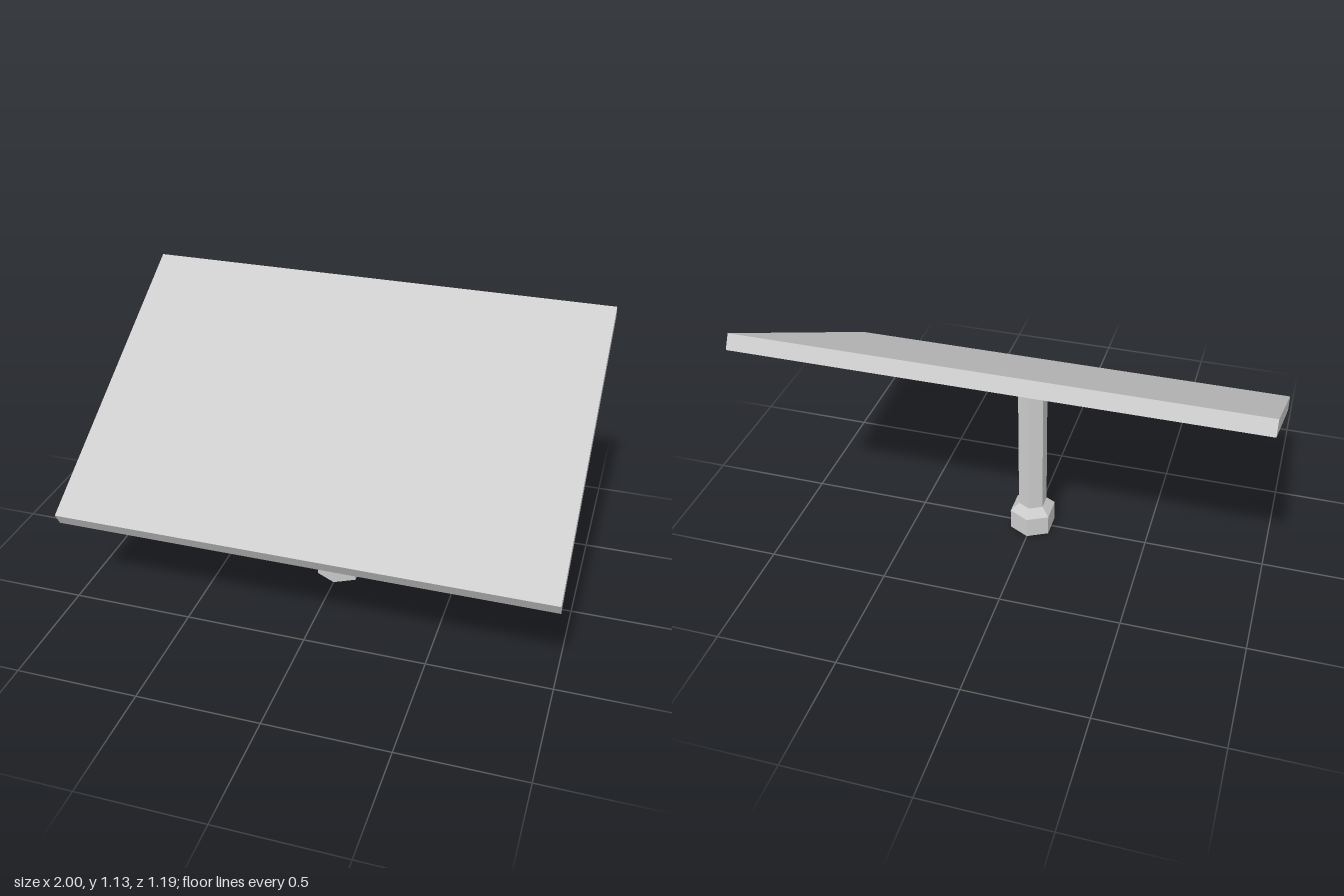
import * as THREE from 'three';

const TILT = Math.PI / 6;
const PANEL_Y = 0.769;
const THICKNESS = 0.062;

export function createModel() {
  const model = new THREE.Group();
  const grey = new THREE.MeshStandardMaterial({ color: 0xcccccc, flatShading: true });

  const add = (name, geometry) => {
    const mesh = new THREE.Mesh(geometry, grey);
    mesh.name = name;
    model.add(mesh);
    return mesh;
  };

  // Six-sided section with corners at front and back and slightly long flanks
  const hexPrism = (rTop, rBottom, y0, y1, open = false) => {
    const g = new THREE.CylinderGeometry(rTop, rBottom, y1 - y0, 6, 1, open);
    g.translate(0, (y0 + y1) / 2, 0);
    const p = g.attributes.position;
    for (let i = 0; i < p.count; i++) {
      if (Math.abs(p.getX(i)) > 0.01) p.setZ(i, p.getZ(i) * 1.11);
    }
    return g;
  };

  // Foot and its sloping collar
  add('foot', hexPrism(0.097, 0.097, 0, 0.09));
  add('collar', hexPrism(0.0605, 0.097, 0.09, 0.125, true));

  // Post, its top cut along the slope of the panel's underside
  const post = hexPrism(0.0605, 0.0605, 0.125, 0.7);
  const p = post.attributes.position;
  const underside = PANEL_Y - THICKNESS / 2 / Math.cos(TILT);
  for (let i = 0; i < p.count; i++) {
    if (p.getY(i) > 0.5) p.setY(i, underside + 0.005 - p.getZ(i) * Math.tan(TILT));
  }
  post.computeVertexNormals();
  add('post', post);

  // Tilted panel, low edge at the front
  const panel = add('panel', new THREE.BoxGeometry(2, THICKNESS, 1.336));
  panel.position.y = PANEL_Y;
  panel.rotation.x = TILT;

  return model;
}
